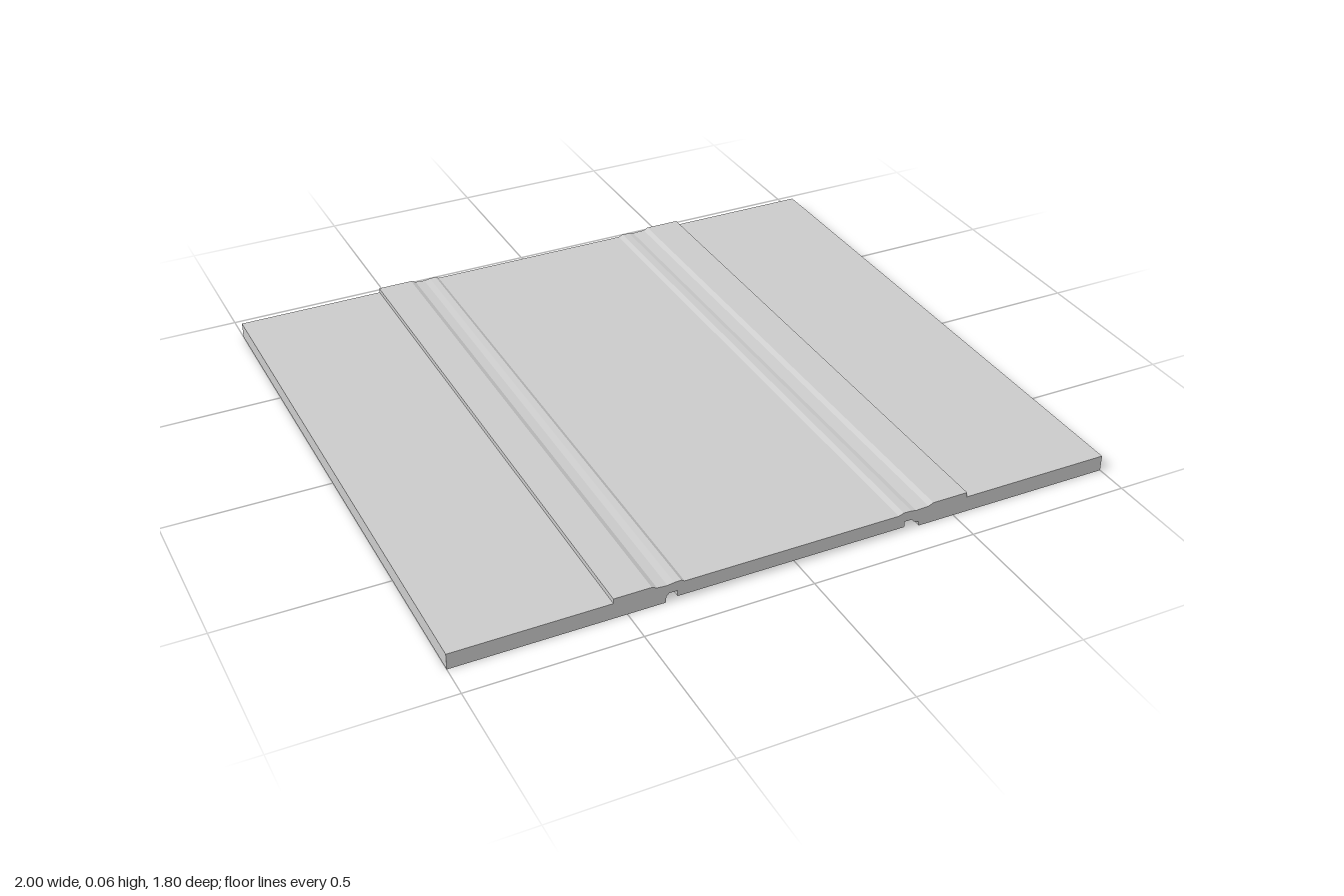
import * as THREE from 'three';

const DEPTH = 1.8;

// Cross-section of the interlocking panel, counter-clockwise from the lower left
const profile = [
  [-1, 0], [-0.39, 0],
  // left groove, square on the inner side
  [-0.388, 0.02], [-0.38, 0.028], [-0.355, 0.028], [-0.355, 0.01],
  // raised underside of the middle, then the right groove with a sloped lip
  [0.34, 0.01], [0.34, 0.028], [0.362, 0.028], [0.37, 0.02], [0.385, 0.014], [0.388, 0],
  [1, 0], [1, 0.049],
  // right raised band and small ridge
  [0.54, 0.049], [0.54, 0.064], [0.43, 0.064], [0.415, 0.057], [0.375, 0.055],
  [0.36, 0.058], [0.335, 0.059], [0.32, 0.053],
  // left small ridge and raised band
  [-0.335, 0.053], [-0.345, 0.059], [-0.365, 0.058], [-0.385, 0.055],
  [-0.415, 0.057], [-0.43, 0.064], [-0.54, 0.064], [-0.54, 0.049],
  [-1, 0.049],
];

export function createModel() {
  const group = new THREE.Group();
  group.name = 'claddingPanel';

  // One constant section run along the full depth
  const shape = new THREE.Shape(profile.map(([x, y]) => new THREE.Vector2(x, y)));
  const geometry = new THREE.ExtrudeGeometry(shape, { depth: DEPTH, bevelEnabled: false });
  geometry.translate(0, 0, -DEPTH / 2);

  const panel = new THREE.Mesh(geometry, new THREE.MeshStandardMaterial({ color: 0xcccccc }));
  panel.name = 'panel';
  group.add(panel);
  return group;
}
